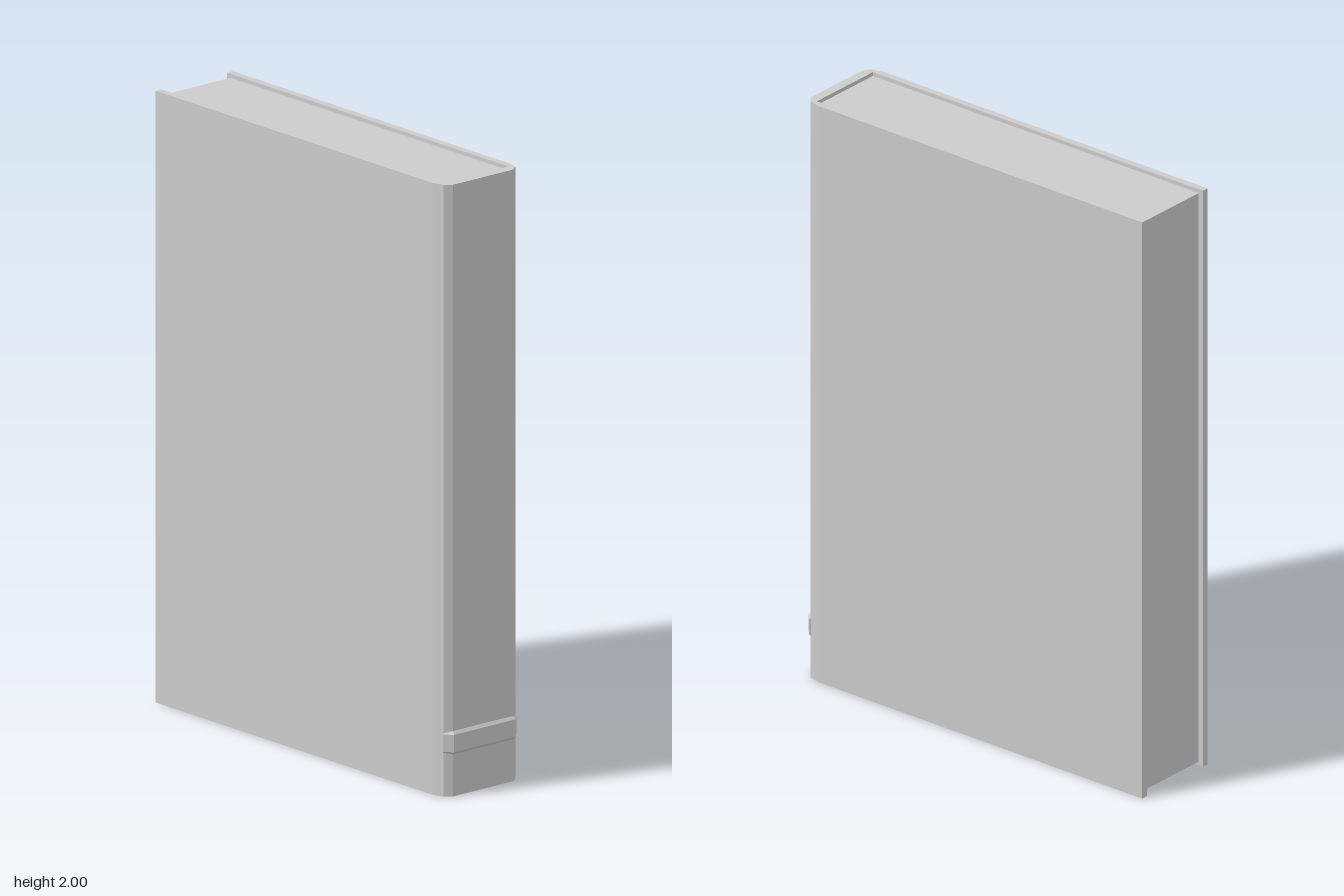
import * as THREE from 'three';

// Extrudes a plan outline of [x, z] points upward from height y
function extrudePlan(points, y, height, bevel = {}) {
  const shape = new THREE.Shape(points.map(([x, z]) => new THREE.Vector2(x, -z)));
  const geometry = new THREE.ExtrudeGeometry(shape, { depth: height, bevelEnabled: false, ...bevel });
  return geometry.rotateX(-Math.PI / 2).translate(0, y, 0);
}

// Completes a half outline (x > 0) with its mirror image
const mirrored = (half) => [...half, ...half.slice().reverse().map(([x, z]) => [-x, z])];

export function createModel() {
  const book = new THREE.Group();
  book.name = 'book';
  const material = new THREE.MeshStandardMaterial({ color: 0xcccccc });
  const add = (name, geometry) => {
    const mesh = new THREE.Mesh(geometry, material);
    mesh.name = name;
    book.add(mesh);
  };

  // Both boards and the chamfered spine as one U-shaped wrap
  const cover = mirrored([
    [0.137, 0.65], [0.137, -0.692], [0.16, -0.692],
    [0.16, 0.625], [0.149, 0.666], [0.125, 0.683],
  ]);
  add('cover', extrudePlan(cover, 0, 2));

  // Page block, set in slightly at top, bottom and fore edge
  const inset = 0.013;
  const pages = new THREE.BoxGeometry(0.274, 2 - 2 * inset, 1.325);
  add('pages', pages.translate(0, 1, -0.0125));

  // Raised band with bevelled edges across the spine
  const band = mirrored([[0.12, 0.65], [0.14, 0.667], [0.124, 0.683]]);
  add('spineBand', extrudePlan(band, 0.147, 0.057, {
    bevelEnabled: true, bevelSize: 0.009, bevelThickness: 0.01, bevelSegments: 1,
  }));

  return book;
}
